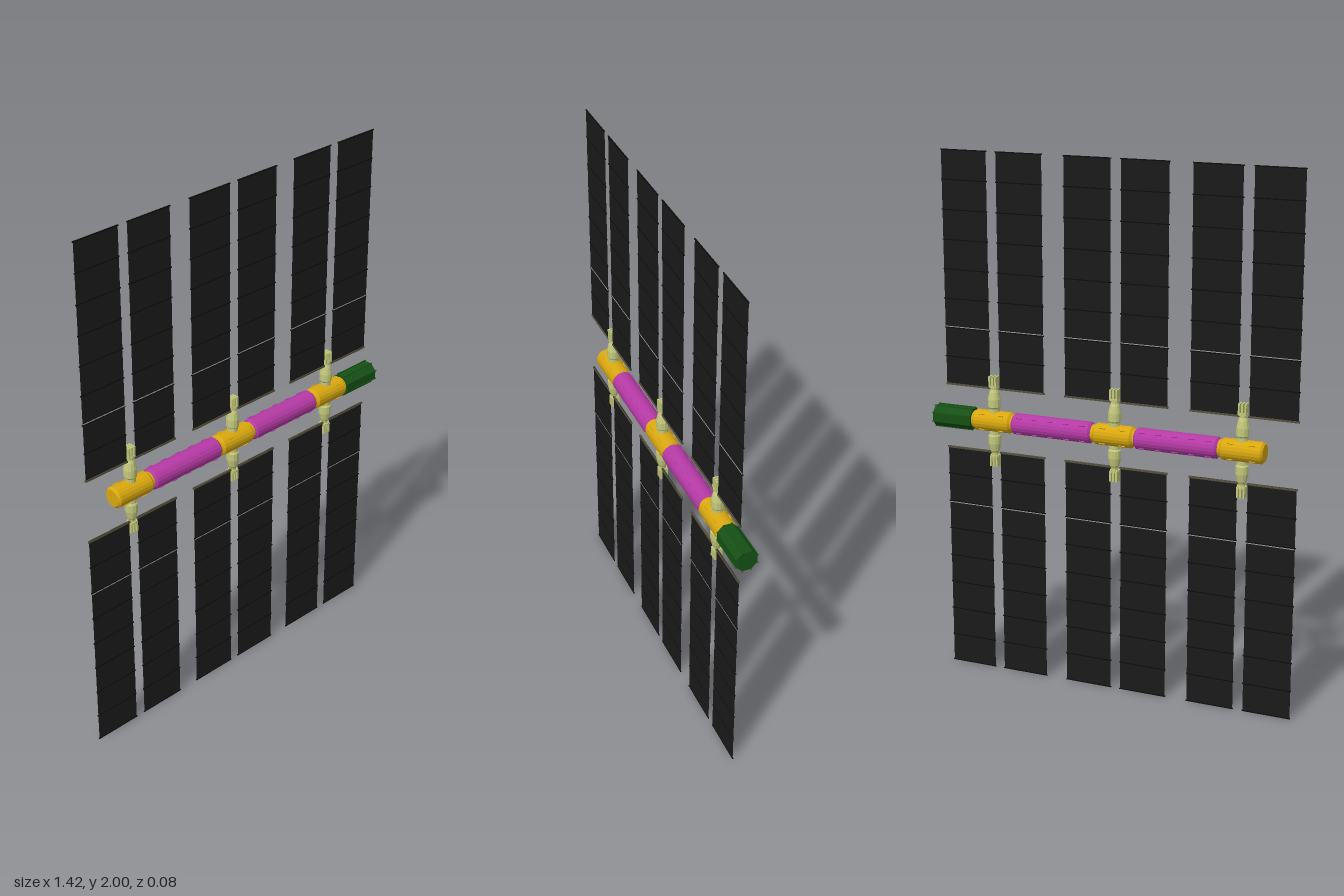
import * as THREE from 'three';

const mat = (color, extra = {}) => new THREE.MeshStandardMaterial({ color, ...extra });
const GOLD = mat(0xd9a80f, { flatShading: true });
const MAGENTA = mat(0xb53aa5, { flatShading: true });
const GREEN = mat(0x155015, { flatShading: true });
const PALE = mat(0xc3c97c, { flatShading: true });
const BLACK = mat(0x1a1a1a);
const RIB = mat(0x0c0c0c);
const EDGE = mat(0x55503c);
const LIGHT = mat(0x9a9a9a);

function add(parent, name, geometry, material, x = 0, y = 0, z = 0) {
  const mesh = new THREE.Mesh(geometry, material);
  mesh.name = name;
  mesh.position.set(x, y, z);
  parent.add(mesh);
  return mesh;
}

// Turned solid lying along x; profile points are [x, radius]
function hull(parent, name, profile, sides, material) {
  const points = profile.map(([x, r]) => new THREE.Vector2(r, x));
  const geometry = new THREE.LatheGeometry(points, sides, Math.PI / sides);
  geometry.rotateZ(-Math.PI / 2);
  return add(parent, name, geometry, material);
}

// Closed cylinder section with bevelled ends
const section = (x0, x1, r) => [
  [x0, 0], [x0, r - 0.008], [x0 + 0.008, r], [x1 - 0.008, r], [x1, r - 0.008], [x1, 0],
];

// Small handrails spaced around and along a hull section
function handrails(parent, x0, x1, count, r, material) {
  for (let i = 0; i < count; i++) {
    const x = x0 + ((i + 0.5) * (x1 - x0)) / count;
    for (let k = 0; k < 4; k++) {
      const a = Math.PI / 4 + (k * Math.PI) / 2;
      const rail = add(parent, 'handrail', new THREE.BoxGeometry(0.022, 0.004, 0.003), material,
        x, Math.sin(a) * r, Math.cos(a) * r);
      rail.rotation.x = Math.PI / 2 - a;
    }
  }
}

// Upright mast: tapered housing, collar and slotted tip
function mast() {
  const group = new THREE.Group();
  group.name = 'mast';
  const profile = [[0, 0], [0.02, 0], [0.02, 0.05], [0.024, 0.056], [0.024, 0.085],
    [0.018, 0.112], [0.013, 0.122], [0.013, 0.135], [0, 0.135]];
  add(group, 'mastHousing',
    new THREE.LatheGeometry(profile.map(([r, y]) => new THREE.Vector2(r, y)), 12), PALE);
  add(group, 'mastCollar', new THREE.CylinderGeometry(0.018, 0.018, 0.008, 12), PALE, 0, 0.134, 0);
  for (const x of [-0.012, 0, 0.012]) {
    add(group, 'tipPlate', new THREE.BoxGeometry(0.007, 0.04, 0.03), PALE, x, 0.153, 0);
  }
  return group;
}

// Solar wing extending upward from its inner edge
function wing() {
  const group = new THREE.Group();
  group.name = 'solarWing';
  const width = 0.18, length = 0.88, bays = 8;
  add(group, 'blanket', new THREE.BoxGeometry(width, length, 0.002), BLACK, 0, length / 2, 0);
  for (let i = 1; i <= bays; i++) {
    const y = Math.min((i * length) / bays, length - 0.002);
    add(group, 'rib', new THREE.BoxGeometry(width + 0.006, 0.004, 0.004),
      RIB, 0, y, 0);
  }
  add(group, 'seam', new THREE.BoxGeometry(width, 0.003, 0.005), LIGHT, 0, length / 4 + 0.004, 0);
  add(group, 'innerEdge', new THREE.BoxGeometry(width + 0.006, 0.007, 0.007), EDGE, 0, 0.0035, 0);
  return group;
}

export function createModel() {
  const model = new THREE.Group();
  model.name = 'solarTruss';
  const spine = new THREE.Group();
  spine.name = 'spine';
  spine.position.y = 1;
  model.add(spine);

  // Narrow core joining the sections
  hull(spine, 'core', [[-0.58, 0], [-0.58, 0.032], [0.56, 0.032], [0.56, 0]], 20, GOLD);

  // Mast hubs
  for (const [x0, x1] of [[-0.594, -0.433], [-0.1, 0.054], [0.388, 0.543]]) {
    hull(spine, 'hub', section(x0, x1, 0.04), 20, GOLD);
    handrails(spine, x0, x1, 2, 0.041, GOLD);
  }

  // Long sections between the hubs
  for (const [x0, x1] of [[-0.425, -0.106], [0.063, 0.383]]) {
    hull(spine, 'longSection', section(x0, x1, 0.04), 20, MAGENTA);
    handrails(spine, x0, x1, 5, 0.041, MAGENTA);
  }

  // Octagonal end section with a cage of thin rods
  hull(spine, 'endSection', [[0.548, 0], [0.548, 0.042], [0.705, 0.042], [0.705, 0]], 8, GREEN);
  for (let k = 0; k < 8; k++) {
    const a = ((k + 0.5) * Math.PI) / 4;
    add(spine, 'cageRod', new THREE.BoxGeometry(0.16, 0.003, 0.003), GREEN,
      0.628, Math.sin(a) * 0.043, Math.cos(a) * 0.043);
  }

  // Three stations, each with two masts and four wings
  for (const x of [-0.51, -0.022, 0.465]) {
    for (const side of [1, -1]) {
      const m = mast();
      m.position.set(x, 1, 0);
      if (side < 0) m.rotation.x = Math.PI;
      model.add(m);
      for (const offset of [-0.11, 0.11]) {
        const w = wing();
        w.position.set(x + offset, 1 + side * 0.12, 0.008);
        if (side < 0) w.rotation.x = Math.PI;
        model.add(w);
      }
    }
  }
  return model;
}
